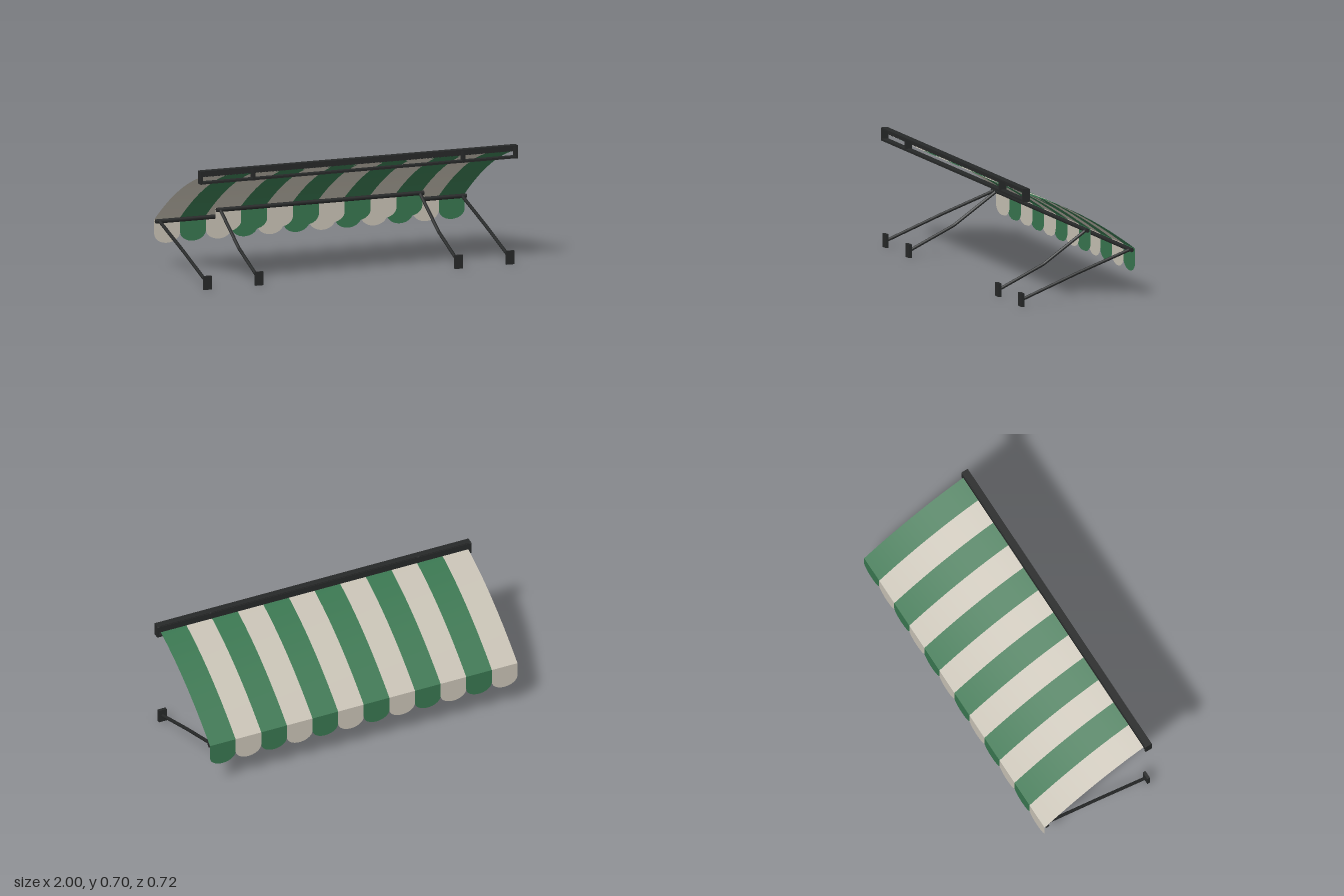
import * as THREE from 'three';

const frameMat = new THREE.MeshStandardMaterial({ color: 0x262828 });
const clothMats = [0xc6c0b3, 0x38754f].map(
  (color) => new THREE.MeshStandardMaterial({ color, side: THREE.DoubleSide }));
const STRIPE = 1.96 / 12;

function add(parent, name, geometry, material = frameMat) {
  const mesh = new THREE.Mesh(geometry, material);
  mesh.name = name;
  parent.add(mesh);
  return mesh;
}

function box(parent, name, w, h, d, x, y, z) {
  add(parent, name, new THREE.BoxGeometry(w, h, d)).position.set(x, y, z);
}

// Straight round bar between two points
function rod(parent, name, a, b, radius) {
  const dir = b.clone().sub(a);
  const mesh = add(parent, name, new THREE.CylinderGeometry(radius, radius, dir.length(), 8));
  mesh.position.copy(a).add(b).multiplyScalar(0.5);
  mesh.quaternion.setFromUnitVectors(new THREE.Vector3(0, 1, 0), dir.normalize());
}

// One cloth stripe, bulging slightly upwards between housing and front bar
function stripeGeometry(x, { top, edge, bulge }) {
  const geo = new THREE.PlaneGeometry(STRIPE, 1, 1, 16);
  const pos = geo.attributes.position;
  for (let i = 0; i < pos.count; i++) {
    const t = 0.5 - pos.getY(i);
    const y = THREE.MathUtils.lerp(top[0], edge[0], t) + 4 * bulge * t * (1 - t);
    pos.setXYZ(i, x - pos.getX(i), y, THREE.MathUtils.lerp(top[1], edge[1], t));
  }
  geo.computeVertexNormals();
  return geo;
}

// Hanging flap with a rounded lower end
function scallopGeometry() {
  const r = STRIPE / 2;
  const shape = new THREE.Shape();
  shape.moveTo(r, 0);
  shape.lineTo(-r, 0);
  shape.lineTo(-r, -0.085);
  shape.absellipse(0, -0.085, r, 0.058, Math.PI, Math.PI * 2, false);
  shape.lineTo(r, 0);
  return new THREE.ShapeGeometry(shape, 14);
}

// A striped canopy with valance, front bar and a pair of bent arms
function awning(name, spec) {
  const group = new THREE.Group();
  group.name = name;
  const [edgeY, edgeZ] = spec.edge;
  const scallop = scallopGeometry();
  for (let i = 0; i < spec.stripes; i++) {
    const x = (i - (spec.stripes - 1) / 2) * STRIPE;
    add(group, 'canopyStripe', stripeGeometry(x, spec), clothMats[i % 2]);
    add(group, 'valanceScallop', scallop, clothMats[i % 2]).position.set(x, edgeY, edgeZ);
  }
  const half = spec.stripes * STRIPE / 2;
  const [barY, barZ] = spec.bar;
  rod(group, 'frontBar', new THREE.Vector3(-half, barY, barZ),
    new THREE.Vector3(half, barY, barZ), 0.013);

  for (const side of [-1, 1]) {
    const x = side * spec.armX;
    const [wall, elbow, tip] = [[0.04, 0.345], spec.elbow, spec.bar]
      .map(([y, z]) => new THREE.Vector3(x, y, z));
    box(group, 'wallPlate', 0.05, 0.08, 0.018, x, 0.04, 0.351);
    rod(group, 'lowerArm', wall, elbow, 0.01);
    rod(group, 'upperArm', elbow, tip, 0.01);
    add(group, 'elbowJoint', new THREE.SphereGeometry(0.01, 8, 6)).position.copy(elbow);
  }
  return group;
}

// End cap of the housing with chamfered outer corners
function endCap(parent, x) {
  const shape = new THREE.Shape([
    [-0.36, 0.622], [-0.321, 0.622], [-0.316, 0.627],
    [-0.316, 0.695], [-0.321, 0.7], [-0.36, 0.7],
  ].map(([a, b]) => new THREE.Vector2(a, b)));
  const geo = new THREE.ExtrudeGeometry(shape, { depth: 0.012, bevelEnabled: false });
  geo.translate(0, 0, -0.006).rotateY(Math.PI / 2);
  add(parent, 'housingEndCap', geo).position.x = x;
}

export function createModel() {
  const model = new THREE.Group();
  model.name = 'awning';

  // Housing, open to the wall, with a slot where the cloth comes out
  const housing = new THREE.Group();
  housing.name = 'housing';
  model.add(housing);
  box(housing, 'housingTop', 1.99, 0.008, 0.04, 0, 0.696, 0.34);
  box(housing, 'housingPanel', 1.99, 0.038, 0.006, 0, 0.677, 0.319);
  box(housing, 'housingLip', 1.99, 0.012, 0.04, 0, 0.629, 0.34);
  for (const x of [-0.994, -0.663, 0.663, 0.994]) endCap(housing, x);

  model.add(awning('outerAwning', {
    stripes: 12, top: [0.66, 0.325], edge: [0.287, -0.36], bulge: 0.04,
    bar: [0.279, -0.34], elbow: [0.165, 0], armX: 0.955,
  }));
  model.add(awning('innerAwning', {
    stripes: 8, top: [0.654, 0.325], edge: [0.354, -0.225], bulge: 0.025,
    bar: [0.345, -0.207], elbow: [0.165, 0.065], armX: 0.63,
  }));
  return model;
}
